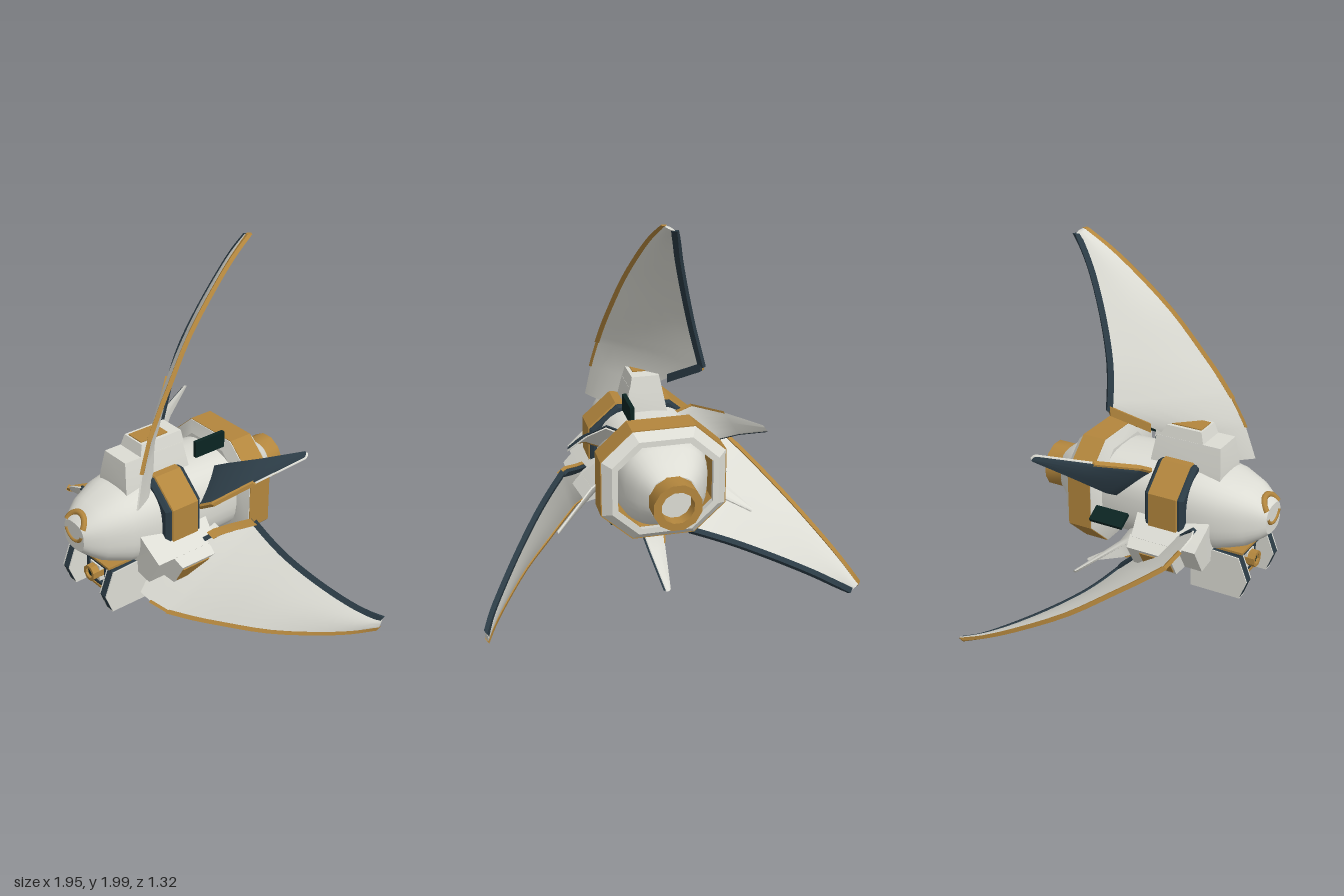
import * as THREE from 'three';
import { toCreasedNormals } from 'three/addons/utils/BufferGeometryUtils.js';

const V = (x, y, z) => new THREE.Vector3(x, y, z);
const AXIS_Y = 0.64; // height of the hull axis

// Skin a list of equal-length cross-sections; ends are capped unless looped.
function loft(sections, { loop = false, crease = 0.6 } = {}) {
  const n = sections[0].length, m = sections.length;
  const pts = sections.flat().map((p) => p.clone());
  const idx = [];
  for (let i = 0; i < (loop ? m : m - 1); i++) {
    for (let j = 0; j < n; j++) {
      const k = (j + 1) % n, s = i * n, e = ((i + 1) % m) * n;
      idx.push(s + j, s + k, e + k, s + j, e + k, e + j);
    }
  }
  if (!loop) {
    for (const end of [0, m - 1]) {
      const c = sections[end].reduce((a, p) => a.add(p), V(0, 0, 0)).divideScalar(n);
      pts.push(c);
      for (let j = 0; j < n; j++) {
        const a = end * n + j, b = end * n + (j + 1) % n;
        idx.push(pts.length - 1, ...(end ? [a, b] : [b, a]));
      }
    }
  }
  // Turn all faces outwards.
  let volume = 0;
  for (let i = 0; i < idx.length; i += 3) {
    volume += pts[idx[i]].dot(pts[idx[i + 1]].clone().cross(pts[idx[i + 2]]));
  }
  if (volume < 0) idx.reverse();
  const g = new THREE.BufferGeometry().setFromPoints(pts);
  g.setIndex(idx);
  return toCreasedNormals(g, crease);
}

// Rounded-square outline across the hull axis; power 2 gives an ellipse.
function outline(z, hx, hy, power, sides) {
  return Array.from({ length: sides }, (_, i) => {
    const a = ((i + 0.5) / sides) * Math.PI * 2, c = Math.cos(a), s = Math.sin(a);
    return V(hx * Math.sign(c) * Math.abs(c) ** (2 / power), hy * Math.sign(s) * Math.abs(s) ** (2 / power), z);
  });
}
const hullLoft = (rows, opts, power = 2.7, sides = 32) => loft(rows.map(([z, hx, hy]) => outline(z, hx, hy, power, sides)), opts);

// Chamfered-square band around the hull.
const CORNERS = [[1, -0.5], [1, 0.5], [0.5, 1], [-0.5, 1], [-1, 0.5], [-1, -0.5], [-0.5, -1], [0.5, -1]];
const band = (rows, loop = false) => loft(rows.map(([z, hx, hy]) => CORNERS.map(([a, b]) => V(a * hx, b * hy, z))), { loop, crease: 0.3 });

// Rectangular cross-section in the xz plane at height y.
const rect = (y, hx, z0, z1) => [V(-hx, y, z0), V(hx, y, z0), V(hx, y, z1), V(-hx, y, z1)];

// Stations hold leading (y, x, z) and trailing (y, x, z).
function frames(stations) {
  return stations.map(([ly, lx, lz, ty, tx, tz]) => {
    const L = V(lx, ly, lz), T = V(tx, ty, tz);
    const u = V(lx - tx, 0, lz - tz).normalize();
    return { L, T, u, n: V(-u.z, 0, u.x) };
  });
}
// Smooth curves through the stations.
function smooth(stations, count) {
  const edge = (o) => new THREE.CatmullRomCurve3(stations.map((s) => V(s[o + 1], s[o], s[o + 2]))).getPoints(count);
  const T = edge(3);
  return edge(0).map((l, i) => [l.y, l.x, l.z, T[i].y, T[i].x, T[i].z]);
}
// Thin lens-shaped blade, shifted along its normal.
function blade(fr, thick, shift = 0, K = 6) {
  return loft(fr.map(({ L, T, n }) => {
    const at = (t, side) => L.clone().lerp(T, t).addScaledVector(n, shift + side * (0.004 + thick * Math.sin(Math.PI * t)));
    const pts = [];
    for (let i = 0; i <= K; i++) pts.push(at(i / K, 1));
    for (let i = K; i >= 0; i--) pts.push(at(i / K, -1));
    return pts;
  }), { crease: 0.9 });
}
// Square trim along points, w across the chord (or a given axis) and h along the normal.
function trim(points, fr, w, h, { axis, shift = 0 } = {}) {
  return loft(points.map((p, i) => [[1, 1], [1, -1], [-1, -1], [-1, 1]].map(([a, b]) =>
    p.clone().addScaledVector(axis ?? fr[i].u, a * w).addScaledVector(fr[i].n, b * h + shift))), { crease: 0.4 });
}
const lead = (fr, w, h) => trim(fr.map((f) => f.L), fr, w, h);
const trail = (fr, w, h, opts) => trim(fr.map((f) => f.T), fr, w, h, opts);

export function createModel() {
  const mat = (name, color) => Object.assign(new THREE.MeshStandardMaterial({ color }), { name });
  const pale = mat('pale hull', 0xdcdcd4), gold = mat('gold trim', 0xb3863d);
  const dark = mat('slate', 0x2b3b45), black = mat('deep green black', 0x0b2422);
  const root = new THREE.Group();
  root.name = 'finnedShip';
  const ship = new THREE.Group();
  ship.name = 'ship';
  ship.position.y = AXIS_Y;
  root.add(ship);
  const add = (parent, name, geo, material, x = 0, y = 0, z = 0) => {
    const m = new THREE.Mesh(geo, material);
    m.name = name;
    m.position.set(x, y, z);
    parent.add(m);
    return m;
  };
  const group = (parent, name, angle) => {
    const g = new THREE.Group();
    g.name = name;
    g.rotation.z = THREE.MathUtils.degToRad(angle);
    parent.add(g);
    return g;
  };
  const box = (w, h, d) => new THREE.BoxGeometry(w, h, d);

  // Hull, bands and nozzle
  add(ship, 'hull', hullLoft([
    [-0.56, 0.118, 0.118], [-0.5, 0.165, 0.165], [-0.42, 0.21, 0.21], [-0.37, 0.228, 0.222], [-0.22, 0.25, 0.225], [0.1, 0.255, 0.235],
    [0.27, 0.248, 0.23], [0.43, 0.218, 0.2], [0.55, 0.165, 0.155], [0.62, 0.115, 0.105], [0.65, 0.085, 0.078],
  ]), pale);
  add(ship, 'frontBandEdge', band([[0.055, 0.27, 0.24], [0.07, 0.287, 0.25], [0.26, 0.287, 0.25], [0.278, 0.27, 0.238]]), dark);
  add(ship, 'frontBand', band([[0.08, 0.285, 0.245], [0.085, 0.294, 0.258], [0.245, 0.294, 0.258], [0.25, 0.285, 0.245]]), gold);
  add(ship, 'rearBand', band([[-0.375, 0.25, 0.235], [-0.375, 0.325, 0.3], [-0.242, 0.325, 0.3], [-0.242, 0.25, 0.23]], true), gold);
  add(ship, 'rearBandFace', band([[-0.243, 0.23, 0.21], [-0.243, 0.322, 0.297], [-0.238, 0.322, 0.297], [-0.215, 0.25, 0.235], [-0.215, 0.23, 0.21]], true), pale);
  add(ship, 'rearLip', band([[-0.376, 0.25, 0.235], [-0.376, 0.32, 0.295], [-0.418, 0.275, 0.255], [-0.418, 0.245, 0.225]], true), pale);
  add(ship, 'nozzle', hullLoft([[-0.55, 0.08, 0.08], [-0.55, 0.125, 0.125], [-0.655, 0.125, 0.125], [-0.655, 0.085, 0.085]], { loop: true }, 2, 12), gold);
  add(ship, 'nozzleCore', hullLoft([[-0.54, 0.083, 0.083], [-0.595, 0.083, 0.083]], {}, 2, 12), pale);

  // Nose arcs
  const brow = add(ship, 'noseBrow', new THREE.TorusGeometry(0.068, 0.017, 8, 20, Math.PI * 0.96), gold, 0, 0.06, 0.643);
  brow.rotation.set(-0.6, 0, Math.PI * 0.02);
  const smile = add(ship, 'noseArc', new THREE.TorusGeometry(0.07, 0.009, 6, 20, Math.PI * 0.8), gold, 0, 0.045, 0.65);
  smile.rotation.z = Math.PI * 1.1;

  // Main fins, each with its mount and side plate
  const outer = frames(smooth([
    [0.52, 0.19, 0.31, 0.52, -0.25, -0.16], [0.64, 0.173, 0.235, 0.64, -0.217, -0.172], [0.76, 0.153, 0.15, 0.76, -0.183, -0.195],
    [0.96, 0.115, 0, 0.955, -0.128, -0.262], [1.16, 0.075, -0.2, 1.15, -0.073, -0.352], [1.27, 0.05, -0.33, 1.255, -0.045, -0.415],
    [1.352, 0.028, -0.45, 1.33, -0.02, -0.475],
  ], 18));
  const topRoot = frames([[0.18, 0.24, 0.43, 0.18, 0.08, 0.2], [0.36, 0.215, 0.38, 0.36, -0.06, 0.06], [0.41, 0.208, 0.36, 0.41, -0.12, 0]]);
  const lowRoot = frames([[0.278, 0.19, 0.305, 0.41, -0.12, 0], [0.323, 0.208, 0.332, 0.42, -0.14, -0.03], [0.416, 0.208, 0.33, 0.46, -0.185, -0.09]]);
  const up = V(0, 1, 0);
  const finParts = (rootFrames, leadStart, innerStart) => {
    const base = [...rootFrames, outer[0]], inner = base.slice(innerStart);
    return [
      ['finBlade', blade([...rootFrames, ...outer], 0.013), pale],
      ['finLeadingBase', lead(base.slice(leadStart), 0.008, 0.01), gold],
      ['finLeadingEdge', lead(outer, 0.013, 0.012), gold],
      ['finTrailingEdge', trail(outer, 0.015, 0.014), dark],
      ['finInnerFront', trail(inner, 0.024, 0.009, { axis: up, shift: 0.011 }), gold],
      ['finInnerBack', trail(inner, 0.023, 0.009, { axis: up, shift: -0.009 }), dark],
    ];
  };
  const topParts = finParts(topRoot, 1, 2);
  const lowParts = finParts(lowRoot, 2, 0);
  lowParts.push(['finRootEdge', trim([lowRoot[0].L, lowRoot[0].T], [lowRoot[0], lowRoot[0]], 0.012, 0.012, { axis: up }), dark]);

  const mountBase = loft([rect(0.18, 0.115, 0, 0.4), rect(0.23, 0.11, 0, 0.4), rect(0.36, 0.085, 0.02, 0.385)], { crease: 0.2 });
  const mountTop = loft([rect(0.35, 0.086, 0.01, 0.29), rect(0.42, 0.072, 0.02, 0.27)], { crease: 0.2 });
  const vane = blade(frames([[0.2, 0.05, 0.06, 0.2, -0.04, -0.06], [0.34, 0.05, 0.03, 0.34, -0.04, -0.09], [0.6, 0.006, -0.21, 0.6, -0.006, -0.23]]), 0.006);
  for (const [name, side] of [['top', 0], ['left', -1], ['right', 1]]) {
    const fin = new THREE.Group();
    fin.name = name + 'Fin';
    group(ship, name + 'FinArm', side * 122).add(fin);
    if (side) {
      // The lower fins lean further back.
      fin.rotation.x = THREE.MathUtils.degToRad(-14);
      fin.position.set(0, -0.066, 0.141);
    }
    (side ? lowParts : topParts).forEach(([part, geo, m]) => add(fin, part, geo, m));

    const mount = group(ship, name + 'Mount', side * 120);
    add(mount, 'mountBase', mountBase, pale);
    add(mount, 'mountTop', mountTop, pale);
    add(mount, 'mountPanel', box(0.105, 0.008, 0.17), gold, 0, 0.421, 0.175);
    add(mount, 'sidePlate', box(0.022, 0.09, 0.19), black, 0.125, 0.31, -0.125);
    if (side) add(mount, 'rearVane', vane, pale);
  }

  // Small swept fins between the main ones: slate in front, pale behind
  const small = frames([
    [0.2, 0.08, 0.05, 0.2, -0.08, -0.13], [0.33, 0.08, 0.01, 0.33, -0.08, -0.15],
    [0.45, 0.044, -0.19, 0.45, -0.048, -0.29], [0.57, 0.01, -0.45, 0.57, -0.014, -0.475],
  ]);
  for (const [name, angle] of [['left', -60], ['right', 60], ['bottom', 180]]) {
    const g = group(ship, name + 'SmallFin', angle);
    add(g, 'smallFinFront', blade(small, 0.006, 0.007), dark);
    add(g, 'smallFinBack', blade(small, 0.004, -0.007), pale);
    add(g, 'smallFinEdge', lead(small.slice(0, 3), 0.008, 0.012), gold);
  }

  // Undercarriage: slab, skids and gun
  const under = new THREE.Group();
  under.name = 'undercarriage';
  root.add(under);
  add(under, 'bellySlab', box(0.34, 0.022, 0.46), dark, 0, 0.466, 0.32);
  add(under, 'bellyTrim', box(0.33, 0.012, 0.47), gold, 0, 0.483, 0.325);
  // Profile is drawn as (z, y) and turned to stand along the hull.
  const skidShape = new THREE.Shape([[0.55, 0.47], [0.6, 0.34], [0.56, 0.24], [0.28, 0.24], [0.28, 0.42], [0.36, 0.48]].map(([z, y]) => new THREE.Vector2(-z, y)));
  const skid = (depth) => new THREE.ExtrudeGeometry(skidShape, { depth, bevelEnabled: false }).rotateY(Math.PI / 2);
  const skidCore = skid(0.04), skidSkin = skid(0.007);
  for (const s of [-1, 1]) {
    add(under, 'skidCore', skidCore, dark, s * 0.163 - 0.02, 0, 0);
    for (const x of [0.138, 0.188]) add(under, 'skidSkin', skidSkin, pale, s * x - 0.0035, 0, 0);
    add(under, 'skidSole', box(0.05, 0.008, 0.28), pale, s * 0.163, 0.238, 0.42);
    add(under, 'gunBracket', box(0.02, 0.14, 0.2), dark, s * 0.075, 0.37, 0.42);
  }
  add(under, 'gunBody', box(0.08, 0.09, 0.26), pale, 0, 0.375, 0.4);
  const barrel = hullLoft([[0.4, 0.025, 0.025], [0.4, 0.045, 0.045], [0.57, 0.045, 0.045], [0.57, 0.028, 0.028]], { loop: true, crease: 0.3 }, 2, 8);
  add(under, 'gunBarrel', barrel, gold, 0, 0.375, 0);
  add(under, 'gunBore', hullLoft([[0.5, 0.029, 0.029], [0.555, 0.029, 0.029]], {}, 2, 8), black, 0, 0.375, 0);
  add(under, 'gunPlateBase', box(0.17, 0.016, 0.26), dark, 0, 0.302, 0.39);
  add(under, 'gunPlate', box(0.19, 0.012, 0.27), gold, 0, 0.288, 0.39);
  add(under, 'gunPylon', box(0.1, 0.14, 0.14), dark, 0, 0.38, 0.22);
  return root;
}
